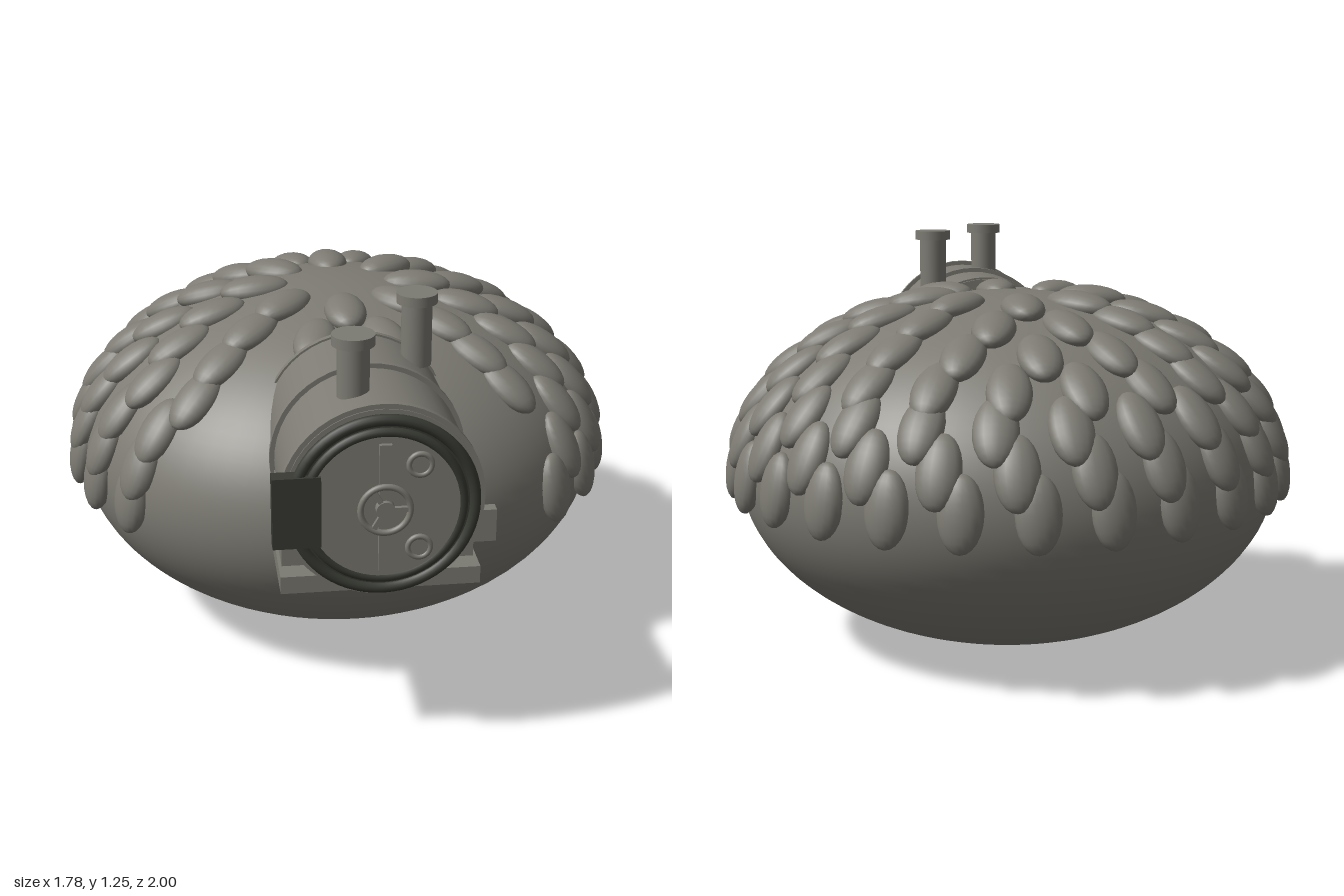
import * as THREE from 'three';

export function createModel() {
  const model = new THREE.Group();
  const grey = new THREE.MeshStandardMaterial({ color: 0x7d7b73 });
  grey.name = 'stone grey';
  const dark = new THREE.MeshStandardMaterial({ color: 0x383a33 });
  dark.name = 'dark rubber';

  const add = (parent, name, geometry, material, x = 0, y = 0, z = 0) => {
    const mesh = new THREE.Mesh(geometry, material);
    mesh.name = name;
    mesh.position.set(x, y, z);
    parent.add(mesh);
    return mesh;
  };
  const box = (w, h, d) => new THREE.BoxGeometry(w, h, d);
  // Disc or drum lying along z
  const drum = (r, d, r2 = r) => new THREE.CylinderGeometry(r, r2, d, 48).rotateX(Math.PI / 2);

  // Ellipsoid shell
  const A = 0.85, B = 0.55, C = 0.81, CZ = -0.15;
  const shell = new THREE.SphereGeometry(1, 72, 48).scale(A, B, C);
  add(model, 'shell', shell, grey, 0, B, CZ);

  // Staggered rings of overlapping pebbles, left open in front for the hatch
  const pebbles = new THREE.Group();
  pebbles.name = 'pebbles';
  model.add(pebbles);
  const pebble = new THREE.SphereGeometry(1, 18, 12).scale(0.066, 0.112, 0.042);
  [8, 12, 16, 20, 23, 24, 25].forEach((count, ring) => {
    const phi = THREE.MathUtils.degToRad(18.2 + 11.55 * ring);
    const s = Math.sin(phi), c = Math.cos(phi);
    for (let i = 0; i < count; i++) {
      const theta = ((i + (ring % 2) / 2) / count) * Math.PI * 2;
      const fromFront = Math.abs(THREE.MathUtils.radToDeg(theta) - 90);
      if (ring > 1 && fromFront < 44) continue;
      const ct = Math.cos(theta), st = Math.sin(theta);
      const down = new THREE.Vector3(A * c * ct, -B * s, C * c * st).normalize();
      const out = new THREE.Vector3((s * ct) / A, c / B, (s * st) / C).normalize();
      const side = new THREE.Vector3().crossVectors(down, out).normalize();
      const mesh = add(pebbles, 'pebble', pebble, grey, A * s * ct, B + B * c, CZ + C * s * st);
      mesh.quaternion.setFromRotationMatrix(new THREE.Matrix4().makeBasis(side, down, out));
      mesh.rotateX(0.12);
    }
  });

  // Airlock drum with raised bands
  const airlock = new THREE.Group();
  airlock.name = 'airlock';
  model.add(airlock);
  const Y = 0.82;
  add(airlock, 'drum', drum(0.27, 0.605), grey, 0, Y, 0.6325);
  for (const [z, r] of [[0.35, 0.276], [0.625, 0.284], [0.922, 0.284]]) {
    add(airlock, 'band', drum(r, 0.02), grey, 0, Y, z);
  }

  // Cradle and foot plate
  add(airlock, 'cradle', box(0.542, 0.2, 0.55), grey, 0, 0.69, 0.58);
  add(airlock, 'footPlate', box(0.56, 0.052, 0.6), grey, 0, 0.569, 0.62);
  add(airlock, 'sideBox', box(0.08, 0.098, 0.035), grey, 0.296, 0.686, 0.836);

  // Chimneys
  for (const [x, z] of [[-0.062, 0.782], [0.165, 0.458]]) {
    add(airlock, 'chimney', new THREE.CylinderGeometry(0.045, 0.045, 0.2, 32), grey, x, 1.13, z);
    add(airlock, 'chimneyCap', new THREE.CylinderGeometry(0.06, 0.06, 0.03, 32), grey, x, 1.235, z);
  }

  // Door with dark seal rings
  add(airlock, 'sealBack', drum(0.255, 0.03), dark, 0, Y, 0.948);
  add(airlock, 'outerSeal', new THREE.TorusGeometry(0.25, 0.016, 12, 64), dark, 0, Y, 0.96);
  add(airlock, 'innerSeal', new THREE.TorusGeometry(0.216, 0.014, 12, 64), dark, 0, Y, 0.963);
  add(airlock, 'door', drum(0.208, 0.03), grey, 0, Y, 0.958);
  add(airlock, 'hinge', box(0.132, 0.208, 0.046), dark, -0.238, 0.817, 0.958);

  // Locking bar and hand wheel
  add(airlock, 'lockBar', box(0.034, 0.375, 0.014), grey, 0, Y, 0.979);
  add(airlock, 'wheelRim', new THREE.TorusGeometry(0.068, 0.009, 10, 40), grey, 0, Y, 0.989);
  add(airlock, 'wheelHub', drum(0.026, 0.026), grey, 0, Y, 0.986);
  for (let i = 0; i < 3; i++) {
    const a = (i / 3) * Math.PI * 2;
    const spoke = add(airlock, 'wheelSpoke', box(0.068, 0.014, 0.012), grey,
      0.034 * Math.cos(a), Y + 0.034 * Math.sin(a), 0.989);
    spoke.rotation.z = a;
  }

  // Round ports
  for (const y of [0.943, 0.697]) {
    add(airlock, 'portRim', new THREE.TorusGeometry(0.031, 0.008, 10, 32), grey, 0.095, y, 0.976);
    add(airlock, 'port', drum(0.024, 0.008), grey, 0.095, y, 0.975);
  }
  return model;
}
